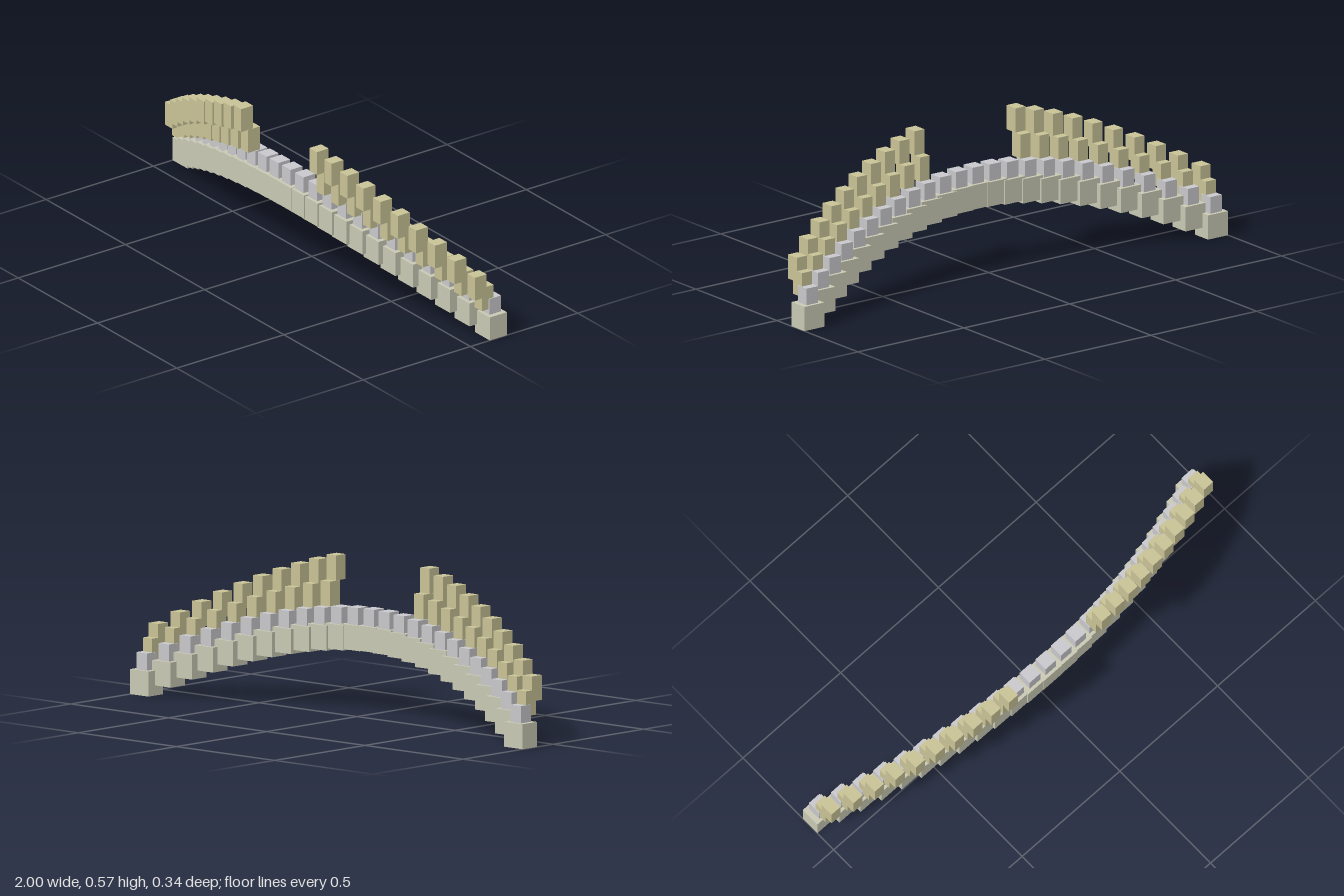
import * as THREE from 'three';

export function createModel() {
  const group = new THREE.Group();
  const mat = (name, color) => Object.assign(new THREE.MeshStandardMaterial({ color }), { name });
  const stone = mat('warm stone', 0xc8c8b4);
  const grey = mat('light grey', 0xc8c8cc);
  const sand = mat('sand', 0xc8c296);

  const baseGeo = new THREE.BoxGeometry(0.094, 0.095, 0.08);
  const postGeo = new THREE.BoxGeometry(0.054, 0.065, 0.055);
  const seatGeo = new THREE.BoxGeometry(0.047, 0.0945, 0.055);

  function add(name, geo, material, x, top, z) {
    const mesh = new THREE.Mesh(geo, material);
    mesh.name = name;
    mesh.position.set(x, top - geo.parameters.height / 2, z);
    group.add(mesh);
  }

  // An arch of 25 blocks that falls and curves back towards both ends
  for (let i = -12; i <= 12; i++) {
    const n = Math.abs(i);
    const t = (n / 12) ** 2;
    const x = i * 0.953 / 12;
    const y = 0.24 * (1 - t);
    const z = 0.092 - 0.222 * t;
    add('archBlock', baseGeo, stone, x, y + 0.095, z);
    add('post', postGeo, grey, x, y + 0.16, z);

    // Two leaning blocks per post, with the middle of the arch left open
    if (n < 3) continue;
    const step = 0.095 - 0.00475 * (n - 3);
    add('lowerBlock', seatGeo, sand, x, y + 0.16 + step, z + 0.0325);
    add('upperBlock', seatGeo, sand, x, y + 0.16 + 2 * step, z + 0.065);
  }
  return group;
}
